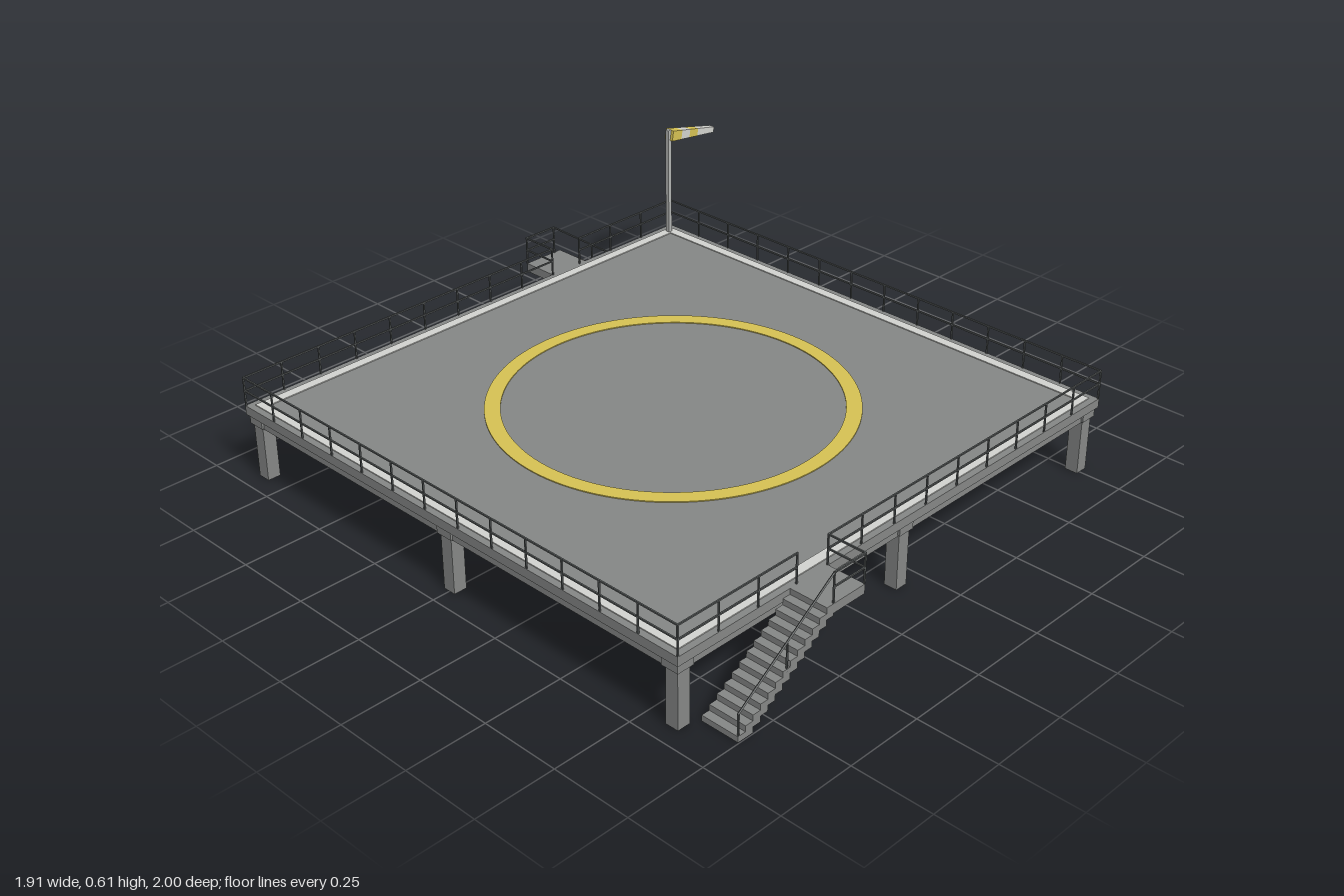
import * as THREE from 'three';

const CX = -0.082, HALF = 0.875;              // deck centre and half size
const TOP = 0.236, RAIL = 0.33, MID = 0.285;  // deck and railing heights
const T = 0.0045;                             // railing bar thickness

const mat = (name, color) => {
  const m = new THREE.MeshStandardMaterial({ color });
  m.name = name;
  return m;
};

export function createModel() {
  const steel = mat('deckGrey', 0x858786);
  const dark = mat('railGrey', 0x565a5a);
  const white = mat('markingWhite', 0xd2d3cf);
  const yellow = mat('markingYellow', 0xd6c253);
  const pale = mat('poleGrey', 0xb4b6b4);

  const model = new THREE.Group();
  model.name = 'landingPlatform';
  // Everything but the windsock is laid out around the deck centre.
  const platform = new THREE.Group();
  platform.name = 'platform';
  platform.position.x = CX;
  model.add(platform);

  const add = (parent, name, geo, material, x = 0, y = 0, z = 0) => {
    const mesh = new THREE.Mesh(geo, material);
    mesh.name = name;
    mesh.position.set(x, y, z);
    parent.add(mesh);
    return mesh;
  };
  const box = (parent, name, m, w, h, d, x, y, z) =>
    add(parent, name, new THREE.BoxGeometry(w, h, d), m, x, y, z);
  // Thin square bar between two points
  const bar = (parent, name, a, b) => {
    const p = new THREE.Vector3(...a), q = new THREE.Vector3(...b);
    const mesh = box(parent, name, dark, T, T, p.distanceTo(q) + T, 0, 0, 0);
    mesh.position.copy(p).add(q).multiplyScalar(0.5);
    mesh.quaternion.setFromUnitVectors(new THREE.Vector3(0, 0, 1), q.sub(p).normalize());
  };

  // Deck slab
  box(platform, 'deckSlab', steel, HALF * 2, TOP - 0.207, HALF * 2, 0, (TOP + 0.207) / 2, 0);

  // Support grid: beams, columns and column caps
  for (const i of [-1, 0, 1]) {
    box(platform, 'crossBeam', steel, 1.73, 0.034, 0.042, 0, 0.192, i * 0.84);
    box(platform, 'lengthBeam', steel, 0.042, 0.034, 1.73, i * 0.84, 0.192, 0);
    for (const j of [-1, 0, 1]) {
      box(platform, 'column', steel, 0.042, 0.2, 0.042, i * 0.84, 0.1, j * 0.84);
      box(platform, 'columnCap', steel, 0.056, 0.03, 0.056, i * 0.84, 0.193, j * 0.84);
    }
  }

  // Painted border and landing circle
  const flat = (name, shape, m) => {
    const geo = new THREE.ExtrudeGeometry(shape, { depth: 0.003, bevelEnabled: false, curveSegments: 64 });
    geo.rotateX(-Math.PI / 2);
    add(platform, name, geo, m, 0, TOP, 0);
  };
  const square = (C, r) => new C([
    new THREE.Vector2(-r, -r), new THREE.Vector2(r, -r), new THREE.Vector2(r, r), new THREE.Vector2(-r, r)]);
  const border = square(THREE.Shape, 0.854);
  border.holes.push(square(THREE.Path, 0.823));
  flat('borderStripe', border, white);
  const ring = new THREE.Shape().absarc(0, 0, 0.547, 0, Math.PI * 2);
  ring.holes.push(new THREE.Path().absarc(0, 0, 0.5, 0, Math.PI * 2, true));
  flat('landingCircle', ring, yellow);

  // Straight railing with evenly spaced posts
  const railing = (parent, x1, z1, x2, z2, spans) => {
    for (const y of [MID, RAIL - T / 2]) bar(parent, 'rail', [x1, y, z1], [x2, y, z2]);
    for (let i = 0; i <= spans; i++) {
      const t = i / spans;
      box(parent, 'railPost', dark, T, RAIL - TOP, T,
        x1 + (x2 - x1) * t, (RAIL + TOP) / 2, z1 + (z2 - z1) * t);
    }
  };

  // Each half holds a side railing, a gapped end railing and a staircase
  const E = HALF - T / 2, L0 = -0.447, L1 = -0.328, FOOT = -0.792, ZR = 0.997 - T / 2;
  const STEPS = 13, run = (L0 - FOOT) / STEPS, rise = TOP / STEPS;
  for (const turn of [0, Math.PI]) {
    const half = new THREE.Group();
    half.name = turn ? 'backHalf' : 'frontHalf';
    half.rotation.y = turn;
    platform.add(half);

    railing(half, E, E, E, -E, 13);
    railing(half, -E, E, L0, E, 3);
    railing(half, L1, E, E, E, 9);

    // Landing and its guard rails
    box(half, 'landing', steel, L1 - L0, 0.029, 0.124, (L0 + L1) / 2, TOP - 0.0145, 0.935);
    railing(half, L1, E, L1, ZR, 1);
    railing(half, L0, ZR, L1, ZR, 1);

    // Overlapping steps, stepped above and below
    for (let i = 0; i < STEPS; i++) {
      const low = Math.max(0, (i - 1) * rise), high = (i + 1) * rise;
      box(half, 'stairStep', steel, run, high - low, 0.122,
        FOOT + (i + 0.5) * run, (low + high) / 2, 0.936);
    }

    // Sloping handrail on the outer side
    bar(half, 'stairRail', [FOOT + 0.003, 0.085, ZR], [L0, RAIL - T / 2, ZR]);
    for (const t of [0, 0.5]) {
      const x = FOOT + 0.003 + (L0 - FOOT) * t, y = t * TOP;
      box(half, 'stairRailPost', dark, T, 0.085, T, x, y + 0.0425, ZR);
    }
  }

  // Windsock pole with tapering square bands
  const wind = new THREE.Group();
  wind.name = 'windsock';
  wind.position.set(0.747, 0, -0.837);
  model.add(wind);
  box(wind, 'windsockPole', pale, 0.014, 0.37, 0.014, 0, TOP + 0.185, 0);
  const sock = new THREE.Group();
  sock.name = 'sock';
  sock.position.set(0.004, 0.587, 0);
  sock.rotation.z = -0.18;
  wind.add(sock);
  const stops = [0, 0.045, 0.085, 0.125, 0.208];
  const radius = (d) => 0.025 - d * 0.055;
  for (let i = 0; i < 4; i++) {
    const a = stops[i], b = stops[i + 1];
    const geo = new THREE.CylinderGeometry(radius(b), radius(a), b - a, 4).toNonIndexed();
    geo.rotateY(Math.PI / 4);
    geo.rotateZ(-Math.PI / 2);
    geo.computeVertexNormals();
    add(sock, 'sockBand', geo, i % 2 ? white : yellow, (a + b) / 2, 0, 0);
  }
  return model;
}
